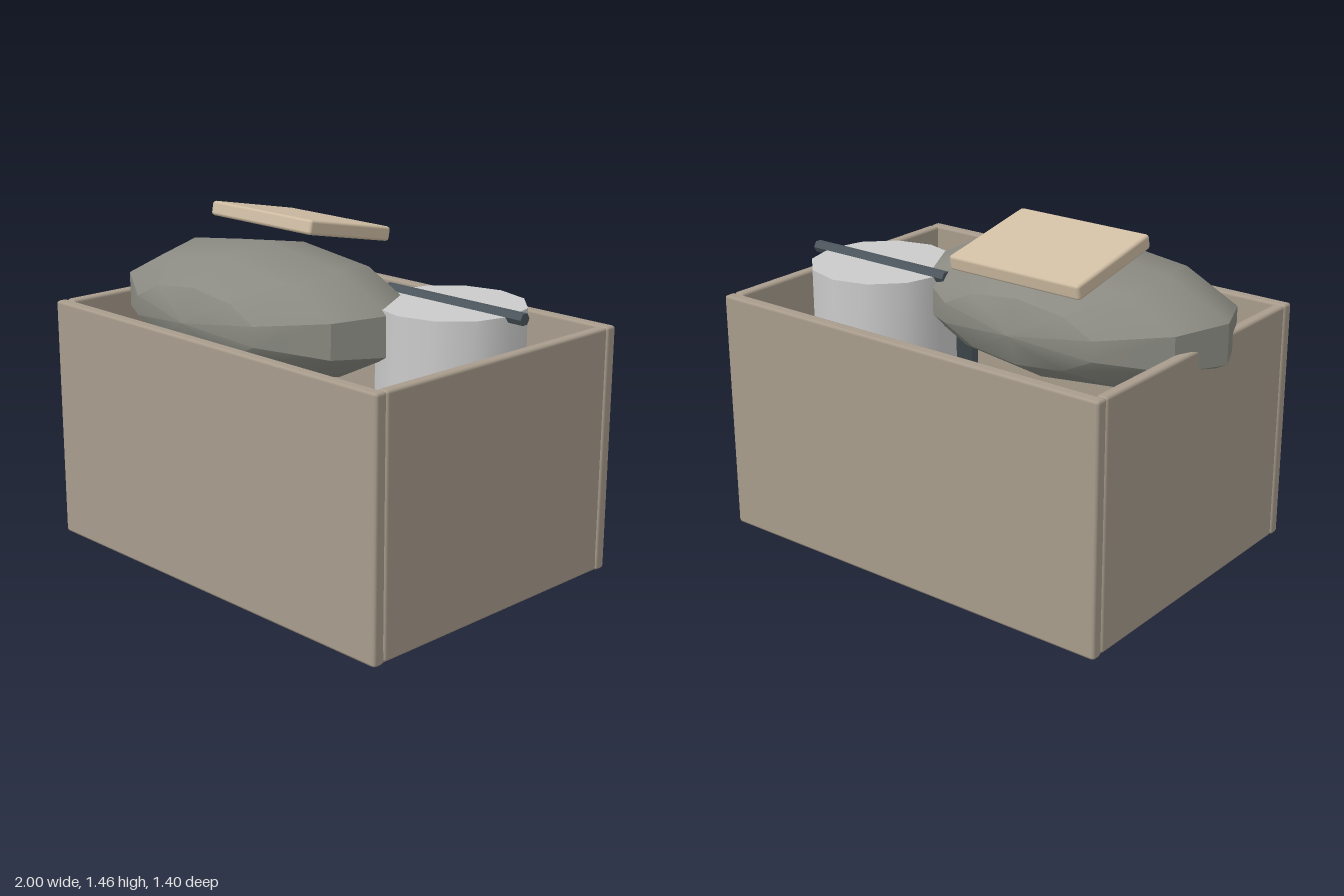
import * as THREE from 'three';
import { toCreasedNormals } from 'three/addons/utils/BufferGeometryUtils.js';
import { RoundedBoxGeometry } from 'three/addons/geometries/RoundedBoxGeometry.js';

const CREASE = THREE.MathUtils.degToRad(32);

export function createModel() {
  const model = new THREE.Group();
  model.name = 'supplyCrate';

  const paint = (color) => new THREE.MeshStandardMaterial({ color });
  const wood = paint(0xa89c8c);
  const tan = paint(0xd0bea4);
  const cloth = paint(0x8a8a82);
  const metal = paint(0xcccccc);
  const dark = paint(0x4c565c);

  const add = (name, geometry, material, x, y, z) => {
    const mesh = new THREE.Mesh(geometry, material);
    mesh.name = name;
    mesh.position.set(x, y, z);
    model.add(mesh);
    return mesh;
  };

  // board with a narrow chamfer along every edge
  const board = (w, h, d) => new RoundedBoxGeometry(w, h, d, 1, 0.013);

  // open crate: floor and two mirrored pairs of walls
  const cx = 0.025;
  add('crateFloor', board(1.93, 0.06, 1.37), wood, cx, 0.03, 0);
  for (const s of [1, -1]) {
    add(s > 0 ? 'frontWall' : 'backWall', board(1.945, 1.07, 0.055), wood, cx, 0.535, s * 0.673);
    add(s > 0 ? 'leftWall' : 'rightWall', board(0.052, 1.065, 1.29), wood, cx + s * 0.946, 0.5375, 0);
  }

  // bulging sack: coarse ball with its poles along z
  const ball = new THREE.SphereGeometry(1, 10, 6);
  ball.rotateY(Math.PI / 2).rotateX(Math.PI / 2);
  // bring one meridian exactly to the top
  ball.scale(0.78, 0.28, 0.46);
  add('sack', toCreasedNormals(ball, CREASE), cloth, -0.26, 1.07, 0.1);

  // round can standing on the floor
  const can = new THREE.CylinderGeometry(0.315, 0.315, 1.12, 12);
  add('can', toCreasedNormals(can, CREASE), metal, 0.555, 0.615, -0.18);

  // thin rod lying across the can
  const rod = new THREE.CylinderGeometry(0.027, 0.027, 0.74, 6);
  rod.rotateZ(Math.PI / 2);
  add('rod', toCreasedNormals(rod, CREASE), dark, 0.57, 1.175, -0.183);

  // short dark bottle in the front corner
  const bottle = new THREE.CylinderGeometry(0.123, 0.123, 0.72, 8);
  add('bottle', toCreasedNormals(bottle, CREASE), dark, 0.625, 0.42, 0.35);

  // flat packet tilted above the sack
  const packet = add('packet', board(0.635, 0.064, 0.487), tan, -0.333, 1.388, -0.178);
  packet.rotation.x = -0.195;

  return model;
}
